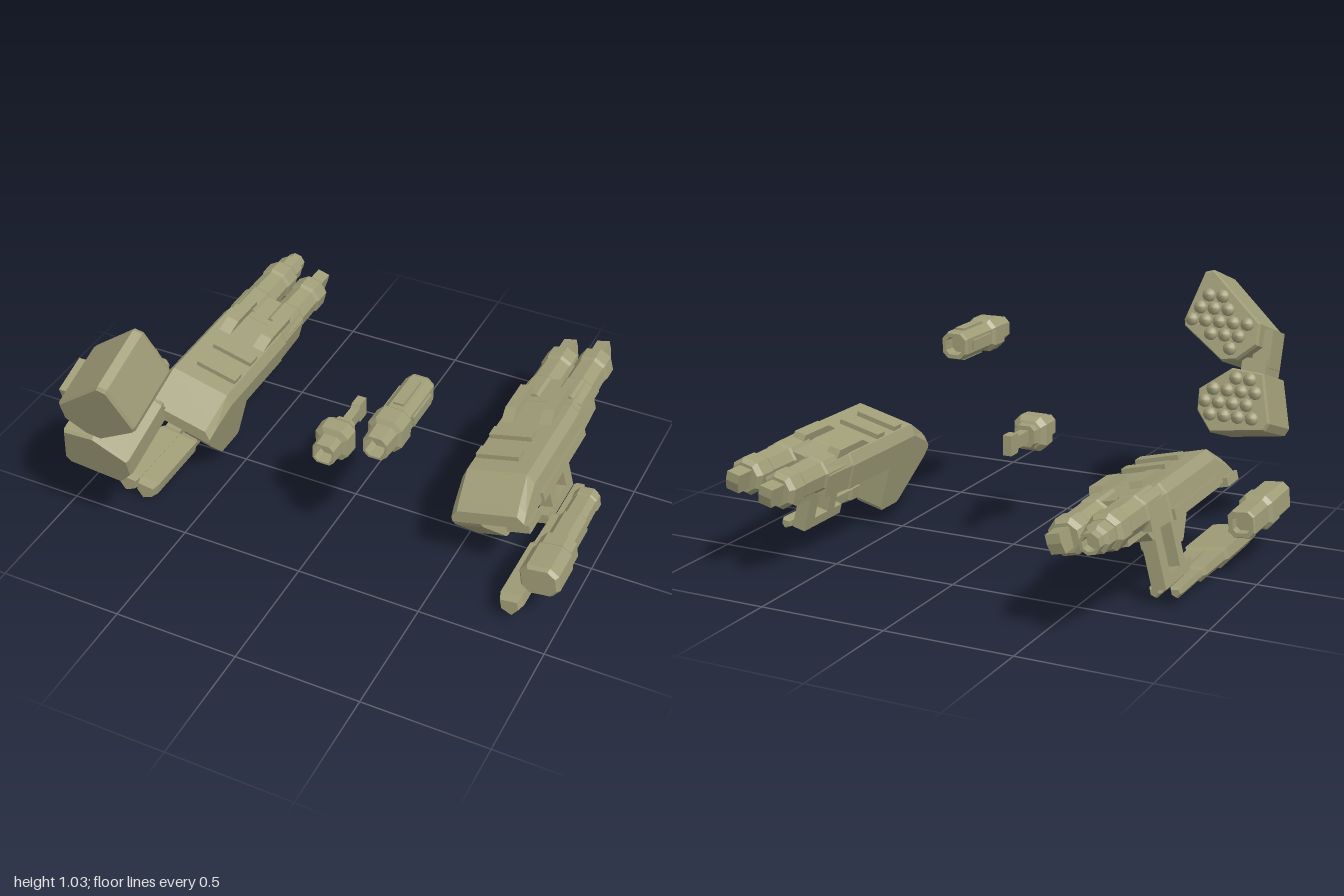
import * as THREE from 'three';

const olive = new THREE.MeshStandardMaterial({ color: 0xa09d78 });
olive.name = 'olive';

function add(parent, name, geo, x = 0, y = 0, z = 0) {
  const m = new THREE.Mesh(geo, olive);
  m.name = name;
  m.position.set(x, y, z);
  parent.add(m);
  return m;
}

// Flat-faced skin through convex outlines; stations run front (+z) to back: [z, outline]
function loft(stations) {
  const area = stations.reduce((s, [, p]) => s + p.reduce((t, a, i) => {
    const b = p[(i + 1) % p.length];
    return t + a[0] * b[1] - a[1] * b[0];
  }, 0), 0);
  const rings = stations.map(([z, p]) => {
    const r = p.map(([x, y]) => [x, y, z]);
    return area < 0 ? r.reverse() : r;
  });
  const v = [], n = rings[0].length;
  const tri = (a, b, c) => v.push(...a, ...b, ...c);
  const last = rings[rings.length - 1];
  for (let i = 1; i < n - 1; i++) {
    tri(rings[0][0], rings[0][i], rings[0][i + 1]);
    tri(last[0], last[i + 1], last[i]);
  }
  for (let k = 0; k < rings.length - 1; k++) {
    const a = rings[k], b = rings[k + 1];
    for (let i = 0; i < n; i++) {
      const j = (i + 1) % n;
      tri(a[i], b[i], b[j]);
      tri(a[i], b[j], a[j]);
    }
  }
  const g = new THREE.BufferGeometry();
  g.setAttribute('position', new THREE.Float32BufferAttribute(v, 3));
  g.computeVertexNormals();
  return g;
}

// Rectangle with cut corners
function oct(w, h = w, cut = 0.35) {
  const c = Math.min(w, h) * cut;
  return [[w, -h + c], [w, h - c], [w - c, h], [-w + c, h], [-w, h - c], [-w, -h + c], [-w + c, -h], [w - c, -h]];
}
const octLoft = (rows, cut) => loft(rows.map(([z, w, h]) => [z, oct(w, h, cut)]));

// Side profile [z, y] pulled across x from u0 to u1
function prism(profile, u0, u1) {
  const shape = new THREE.Shape(profile.map(([z, y]) => new THREE.Vector2(-z, y)));
  const g = new THREE.ExtrudeGeometry(shape, { depth: Math.abs(u1 - u0), bevelEnabled: false });
  g.rotateY(Math.PI / 2);
  g.translate(Math.min(u0, u1), 0, 0);
  return g;
}

// One twin-barrel arm gun; s = +1 for the left side, -1 for the right
function makeGun(s) {
  const gun = new THREE.Group();
  gun.name = s > 0 ? 'leftGun' : 'rightGun';
  gun.position.set(0.645 * s, 0.375, 0);
  gun.rotation.z = 0.25 * s;
  const box = (name, u0, u1, v0, v1, z0, z1) =>
    add(gun, name, new THREE.BoxGeometry(u1 - u0, v1 - v0, z1 - z0), s * (u0 + u1) / 2, (v0 + v1) / 2, (z0 + z1) / 2);
  const side = (name, profile, u0, u1) => add(gun, name, prism(profile, s * u0, s * u1));

  // Housing with sloped front
  const hull = (top, k = 1, low = -0.085) => [[-0.15, low], [-0.15, Math.min(0.015, top - 0.03)], [-0.122, top],
    [0.122, top], [0.145, Math.min(0.015, top - 0.03)], [0.145, low]].map(([u, v]) => [s * u * k, v]);
  add(gun, 'housing', loft([[0.25, hull(-0.035)], [0.215, hull(-0.01)], [0.105, hull(0.055)],
    [-0.36, hull(0.055)], [-0.37, hull(0.052, 0.97)], [-0.53, hull(0.05, 0.95, -0.075)]]));
  side('frontLeg', [[0.25, -0.08], [0.235, -0.11], [0.085, -0.265], [0.07, -0.275], [-0.05, -0.275], [-0.06, -0.26], [-0.06, -0.08]], -0.15, -0.035);

  // Top ridges and straps
  for (const u of [-0.09, 0.068]) {
    side('topRidge', [[-0.2, 0.05], [-0.27, 0.085], [-0.43, 0.085], [-0.445, 0.05]], u - 0.025, u + 0.025);
  }
  for (const z of [-0.125, 0.005]) box('strap', -0.115, 0.06, 0.05, 0.074, z - 0.027, z + 0.027);
  box('flankRail', 0.135, 0.157, -0.085, -0.045, -0.36, 0.08);
  box('frontLip', 0.07, 0.163, -0.105, -0.07, 0.14, 0.25);
  side('underBlock', [[-0.36, -0.08], [-0.365, -0.13], [-0.44, -0.13], [-0.485, -0.08]], 0.01, 0.09);

  // Twin barrels; the right gun's outer one has a round muzzle
  for (const u of [-0.072, 0.072]) {
    add(gun, 'barrel', octLoft([[-0.4, 0.067], [-0.53, 0.067], [-0.54, 0.062], [-0.67, 0.06], [-0.685, 0.066],
      [-0.75, 0.066], [-0.77, 0.052]], 0.55), s * u, -0.005, 0);
    box('barrelKeel', u - 0.03, u + 0.03, -0.085, -0.055, -0.66, -0.5);
    if (s < 0 && u > 0) {
      add(gun, 'roundMuzzle', octLoft([[-0.76, 0.05], [-0.83, 0.05], [-0.84, 0.037], [-0.88, 0.037],
        [-0.88, 0.026], [-0.84, 0.026]], 0.586), s * u, -0.005, 0);
    } else {
      side('muzzle', [[-0.76, -0.04], [-0.76, 0.035], [-0.85, 0.035], [-0.85, 0], [-0.835, -0.04]], u - 0.027, u + 0.027);
    }
  }

  // Grip frame
  box('gripPost', 0.005, 0.06, -0.33, -0.08, -0.205, -0.155);
  box('gripPost', 0.005, 0.06, -0.33, -0.08, -0.362, -0.3);
  box('gripTop', 0, 0.075, -0.11, -0.08, -0.362, -0.155);
  box('gripBase', 0.005, 0.06, -0.335, -0.295, -0.362, -0.1);
  return gun;
}

// Faceted lower rail with a thin rear rod
function makeRail(parent, s, dx, dy) {
  const pts = [[-0.05, 0.03], [0.035, 0.042], [0.045, 0], [0.012, -0.045], [-0.04, -0.022]];
  const at = (k) => pts.map(([x, y]) => [s * (0.82 + dx + x * k), 0.07 + dy + y * k]);
  add(parent, 'lowerRail', loft([[0.4, at(0.78)], [0.365, at(1)], [0.07, at(1)], [0.05, at(0.8)],
    [-0.13, at(0.72)], [-0.15, at(0.5)], [-0.345, at(0.5)], [-0.36, at(0.35)]]));
}

// Twin missile pods tilted back, tubes on the rear faces
function makePods() {
  const pods = new THREE.Group();
  pods.name = 'missilePods';
  pods.position.set(0, 0.61, 0.77);
  pods.rotation.x = 0.32;
  const upper = [[-0.475, 0.15], [-0.535, 0.345], [-0.57, 0.355], [-0.79, 0.16], [-0.79, 0.075], [-0.715, 0.01], [-0.655, 0], [-0.48, 0.125]];
  const lower = [[-0.575, -0.115], [-0.7, -0.02], [-0.83, -0.03], [-0.88, -0.22], [-0.865, -0.25], [-0.645, -0.28], [-0.58, -0.2]];
  const nose = new THREE.LatheGeometry([[0.026, 0], [0.026, 0.012], [0.02, 0.012], [0.014, 0.022], [0, 0.026]]
    .map(([r, y]) => new THREE.Vector2(r, y)), 10);
  nose.rotateX(-Math.PI / 2);
  for (const [name, p] of [['upperPod', upper], ['lowerPod', lower]]) {
    const cx = p.reduce((t, a) => t + a[0], 0) / p.length, cy = p.reduce((t, a) => t + a[1], 0) / p.length;
    const k = (f) => p.map(([x, y]) => [cx + (x - cx) * f, cy + (y - cy) * f]);
    add(pods, name, loft([[0, k(0.95)], [-0.012, k(1)], [-0.27, k(1)], [-0.285, k(0.95)]]));
    // Tubes packed in staggered rows inside the outline
    const inside = (x, y) => p.every((a, i) => {
      const b = p[(i + 1) % p.length], ex = b[0] - a[0], ey = b[1] - a[1];
      return (ex * (y - a[1]) - ey * (x - a[0])) / Math.hypot(ex, ey) > 0.03;
    });
    for (let r = -4; r <= 4; r++) for (let c = -4; c <= 4; c++) {
      const x = cx + (c + (r & 1) / 2) * 0.057, y = cy + r * 0.05;
      if (inside(x, y)) add(pods, 'missileTube', nose, x, y, -0.284);
    }
  }
  // Side bracket joining both pods
  add(pods, 'bracket', new THREE.BoxGeometry(0.07, 0.15, 0.15), -0.79, 0.075, -0.14);
  add(pods, 'bracketFoot', new THREE.BoxGeometry(0.1, 0.06, 0.18), -0.77, 0, -0.14);
  return pods;
}

export function createModel() {
  const model = new THREE.Group();
  model.add(makeGun(1), makeGun(-1), makePods());
  makeRail(model, 1, 0, 0);
  makeRail(model, -1, 0, -0.012);
  makeRail(model, -1, -0.08, -0.025);

  // Left side launcher
  const launcher = add(model, 'leftLauncher', octLoft([[0.38, 0.066, 0.055], [0.365, 0.077, 0.064], [0.235, 0.077, 0.064],
    [0.225, 0.07, 0.06], [0.165, 0.07, 0.06], [0.155, 0.054, 0.05], [0.02, 0.054, 0.05], [0.01, 0.048, 0.042],
    [-0.1, 0.046, 0.042], [-0.105, 0.05, 0.046], [-0.14, 0.05, 0.046], [-0.145, 0.036, 0.034], [-0.16, 0.036, 0.034],
    [-0.16, 0.025, 0.025], [-0.12, 0.025, 0.025]], 0.5), 0.917, 0.217, 0);
  launcher.rotation.z = 0.15;

  // Right side thruster barrel
  const thruster = add(model, 'rightThruster', octLoft([[0.36, 0.03], [0.4, 0.036], [0.4, 0.055], [0.385, 0.06], [0.25, 0.06],
    [0.24, 0.066], [0.17, 0.066], [0.155, 0.053], [0.01, 0.053], [0, 0.048], [0, 0.032], [0.04, 0.032]], 0.4), -0.93, 0.22, 0);
  thruster.rotation.z = -0.1;
  add(model, 'thrusterCore', octLoft([[0.385, 0.014], [0.35, 0.014]], 0.5), -0.93, 0.22, 0);

  // Loose barrel unit, open at both ends
  add(model, 'barrelUnit', octLoft([[0.46, 0.037], [0.52, 0.037], [0.52, 0.046], [0.445, 0.05], [0.435, 0.066], [0.36, 0.066],
    [0.345, 0.055], [0.14, 0.055], [0.125, 0.05], [0.125, 0.035], [0.18, 0.035]], 0.45), 0.325, 0.735, 0);
  for (const a of [0, 1, 2, 3]) {
    const g = new THREE.BoxGeometry(0.04, 0.012, 0.15);
    g.translate(0, 0.058, 0.25);
    g.rotateZ(a * Math.PI / 2);
    add(model, 'barrelRib', g, 0.325, 0.735, 0);
  }

  // Loose joint unit with rear plate
  add(model, 'jointUnit', octLoft([[0.23, 0.036], [0.285, 0.036], [0.285, 0.044], [0.22, 0.046], [0.21, 0.068], [0.15, 0.07],
    [0.125, 0.055], [0.12, 0.045], [0.095, 0.042]], 0.4), 0, 0.415, 0);
  add(model, 'jointPlate', prism([[0.1, -0.025], [0.1, 0.025], [0.01, 0.025], [0, 0.04], [-0.055, 0.04], [-0.055, -0.04], [0, -0.04], [0.01, -0.025]],
    -0.018, 0.018), 0, 0.415, 0);
  return model;
}
